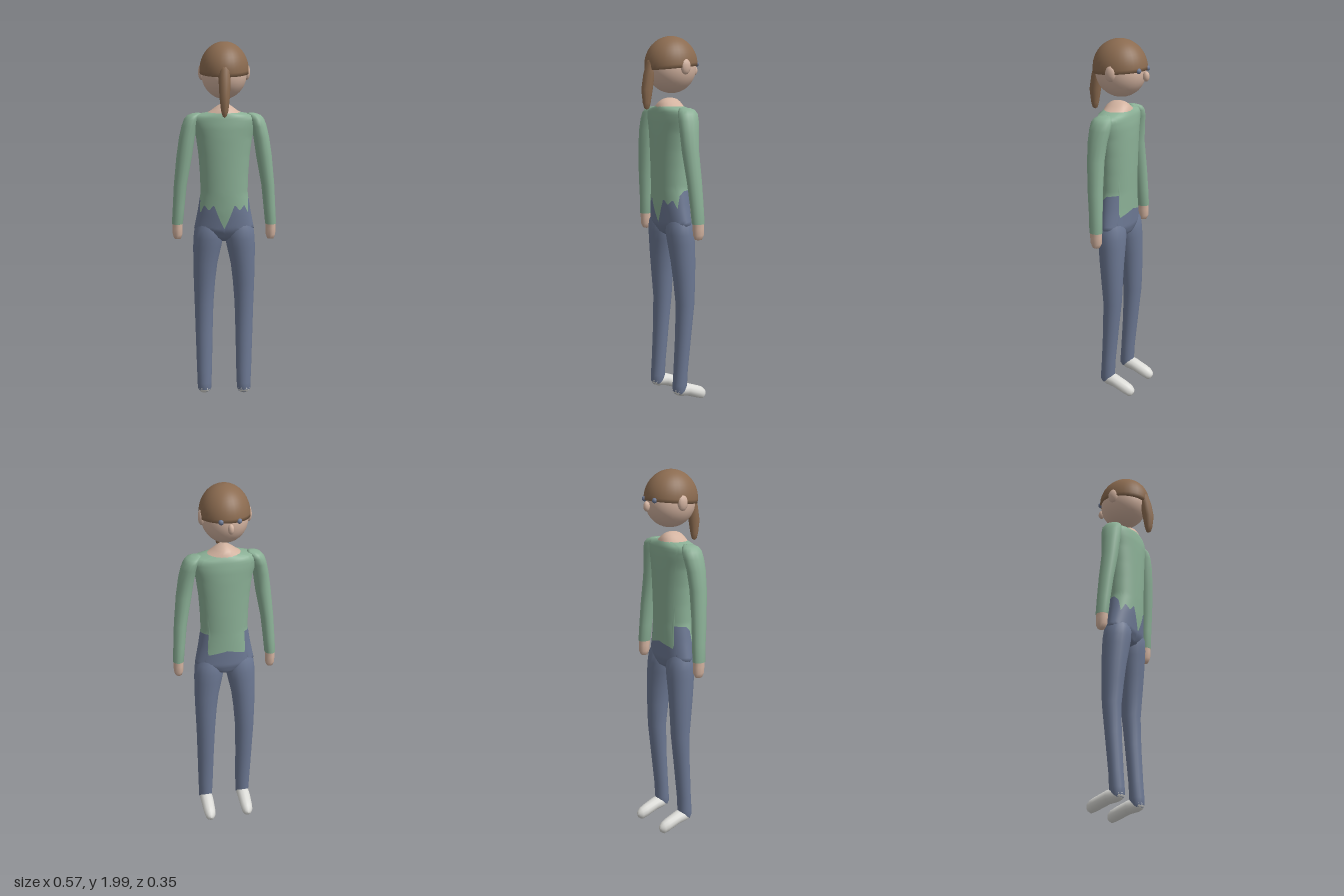
import * as THREE from 'three';

// Surface from rows of points (rows run upward, columns run round), seam welded
function surface(rows, cols, point) {
  const pos = [], idx = [];
  for (let i = 0; i <= rows; i++)
    for (let j = 0; j < cols; j++) pos.push(...point(i / rows, (j / cols) * Math.PI * 2));
  for (let i = 0; i < rows; i++)
    for (let j = 0; j < cols; j++) {
      const k = (j + 1) % cols, a = i * cols + j, b = i * cols + k;
      idx.push(a, a + cols, b, b, a + cols, b + cols);
    }
  const g = new THREE.BufferGeometry();
  g.setAttribute('position', new THREE.Float32BufferAttribute(pos, 3));
  g.setIndex(idx);
  g.computeVertexNormals();
  return g;
}

// Linear lookup in a table whose first column rises
function lookup(table, v) {
  let i = 0;
  while (i < table.length - 2 && v > table[i + 1][0]) i++;
  const a = table[i], b = table[i + 1];
  const t = THREE.MathUtils.clamp((v - a[0]) / (b[0] - a[0]), 0, 1);
  return a.map((x, k) => x + (b[k] - x) * t);
}

// Upright limb from rings [y, centre x, centre z, radius x, radius z]
function limb(rings, cols = 14) {
  return surface(rings.length - 1, cols, (u, a) => {
    const [y, cx, cz, rx, rz] = rings[Math.round(u * (rings.length - 1))];
    return [cx + rx * Math.cos(a), y, cz + rz * Math.sin(a)];
  });
}

export function createModel() {
  const group = new THREE.Group();
  const material = (name, color) => {
    const m = new THREE.MeshStandardMaterial({ color });
    m.name = name;
    return m;
  };
  const skin = material('skin', 0xd3b3a0);
  const hair = material('brown hair', 0x8b6b50);
  const green = material('green shirt', 0x8bb096);
  const blue = material('blue denim', 0x6c7893);
  const white = material('white shoe', 0xdcdcd8);

  const add = (name, geometry, mat, x = 0, y = 0, z = 0) => {
    const m = new THREE.Mesh(geometry, mat);
    m.name = name;
    m.position.set(x, y, z);
    group.add(m);
    return m;
  };
  const ball = (name, mat, p, r, seg = 10) =>
    add(name, new THREE.SphereGeometry(1, seg, Math.ceil(seg * 0.7)), mat, ...p).scale.set(...r);

  // Torso profile: [y, radius x, radius z, centre z]
  const body = [
    [0.93, 0.02, 0.02, -0.01], [0.955, 0.1, 0.06, -0.01], [1.0, 0.163, 0.079, -0.005],
    [1.1, 0.143, 0.085, 0], [1.2, 0.127, 0.088, 0.002], [1.3, 0.13, 0.09, 0.002],
    [1.4, 0.137, 0.091, 0.002], [1.5, 0.15, 0.091, 0.002], [1.56, 0.168, 0.089, 0.002],
    [1.6, 0.178, 0.083, 0.002], [1.62, 0.155, 0.079, 0.003], [1.628, 0.115, 0.075, 0.004],
    [1.632, 0.085, 0.071, 0.004],
  ];
  const bodyPoint = (y, a) => {
    const [, rx, rz, cz] = lookup(body, y);
    return [rx * Math.cos(a), y, cz + rz * Math.sin(a)];
  };

  // Jagged hem height by angle from the +z side round to the -z side
  const hemTable = [
    [0, 1.01], [0.42, 1.145], [0.62, 1.11], [0.9, 1.14], [1.1, 1.09], [1.3, 1.16],
    [1.6, 1.185], [2.34, 1.19], [2.36, 1.065], [3.15, 1.095],
  ];
  const hem = (a) => lookup(hemTable, Math.acos(THREE.MathUtils.clamp(Math.sin(a), -1, 1)))[1];
  add('shirt', surface(36, 96, (u, a) => bodyPoint(hem(a) + (1.632 - hem(a)) * u, a)), green);
  add('hips', surface(14, 96, (u, a) => bodyPoint(0.93 + (hem(a) - 0.93) * u, a)), blue);

  // Neck stub
  add('neck', limb([
    [1.625, 0, 0.004, 0.1, 0.074], [1.64, 0, 0.004, 0.072, 0.07], [1.655, 0, 0.003, 0.052, 0.06],
    [1.668, 0, 0.002, 0.033, 0.045], [1.675, 0, 0.002, 0.015, 0.025], [1.677, 0, 0.002, 0, 0],
  ], 20), skin);

  // Head, with a hair cap whose lower edge tilts up towards the face
  ball('head', skin, [0, 1.832, -0.01], [0.12, 0.132, 0.136], 28);
  add('hairCap', surface(14, 32, (u, a) => {
    const edge = Math.asin((-0.015 - 0.014 * Math.sin(a)) / 0.15);
    const e = edge + (Math.PI / 2 - edge) * Math.max(0, (u * 14 - 1) / 13);
    const r = Math.cos(e) * (u === 0 ? 0.86 : 1);
    return [0.13 * r * Math.cos(a), 1.85 + 0.15 * Math.sin(e), -0.007 + 0.147 * r * Math.sin(a)];
  }), hair);
  add('ponytail', limb([
    [1.615, 0, 0.147, 0, 0], [1.622, 0, 0.147, 0.01, 0.014], [1.65, 0, 0.147, 0.019, 0.022],
    [1.72, 0, 0.145, 0.027, 0.032], [1.8, 0, 0.132, 0.031, 0.031], [1.86, 0, 0.12, 0.03, 0.025],
    [1.878, 0, 0.118, 0.02, 0.018], [1.885, 0, 0.115, 0, 0],
  ], 10), hair);
  ball('nose', skin, [0, 1.82, -0.159], [0.016, 0.027, 0.018]);

  for (const s of [1, -1]) {
    const side = s > 0 ? 'left' : 'right';
    const mirror = (rings) => rings.map(([y, x, ...rest]) => [y, x * s, ...rest]);

    ball(side + 'Ear', skin, [s * 0.12, 1.84, -0.018], [0.018, 0.042, 0.031]);
    ball(side + 'Eye', blue, [s * 0.046, 1.853, -0.141], [0.014, 0.014, 0.014]);

    // Arm: sleeve and hand
    add(side + 'Sleeve', limb(mirror([
      [1.022, 0.254, -0.008, 0.02, 0.025], [1.025, 0.254, -0.008, 0.03, 0.036],
      [1.12, 0.246, -0.004, 0.032, 0.038], [1.24, 0.236, 0.004, 0.035, 0.042],
      [1.4, 0.213, 0.014, 0.042, 0.047], [1.5, 0.198, 0.012, 0.042, 0.054],
      [1.56, 0.184, 0.006, 0.042, 0.059], [1.595, 0.172, 0.003, 0.041, 0.058],
      [1.615, 0.16, 0.002, 0.036, 0.048], [1.625, 0.145, 0.002, 0.025, 0.03],
      [1.628, 0.135, 0.002, 0, 0],
    ])), green);
    add(side + 'Hand', limb(mirror([
      [0.937, 0.254, -0.01, 0, 0], [0.942, 0.254, -0.01, 0.018, 0.02],
      [0.965, 0.254, -0.01, 0.026, 0.031], [1.0, 0.254, -0.009, 0.027, 0.033],
      [1.03, 0.254, -0.008, 0.027, 0.033],
    ]), 10), skin);

    // Trouser leg
    add(side + 'Leg', limb(mirror([
      [0.07, 0.11, 0.012, 0.03, 0.028], [0.085, 0.11, 0.011, 0.038, 0.037],
      [0.12, 0.11, 0.008, 0.039, 0.04], [0.2, 0.11, 0.003, 0.042, 0.038],
      [0.4, 0.111, -0.013, 0.047, 0.043], [0.57, 0.111, -0.024, 0.052, 0.051],
      [0.7, 0.108, -0.02, 0.059, 0.06], [0.8, 0.103, -0.016, 0.066, 0.067],
      [0.9, 0.092, -0.011, 0.077, 0.073], [0.95, 0.086, -0.008, 0.081, 0.075],
      [1.0, 0.082, -0.005, 0.079, 0.073], [1.05, 0.078, -0.003, 0.06, 0.055],
    ]), 20), blue);

    // Shoe: rings along z [z, centre y, radius x, radius y], from toe to heel
    const shoe = [
      [-0.161, 0.042, 0, 0], [-0.155, 0.043, 0.017, 0.02], [-0.138, 0.045, 0.029, 0.034],
      [-0.11, 0.055, 0.034, 0.036], [-0.04, 0.081, 0.037, 0.036], [0.01, 0.088, 0.037, 0.036],
      [0.033, 0.089, 0.031, 0.027], [0.045, 0.09, 0.016, 0.013], [0.048, 0.09, 0, 0],
    ];
    add(side + 'Shoe', surface(shoe.length - 1, 12, (u, a) => {
      const [z, cy, rx, ry] = shoe[Math.round(u * (shoe.length - 1))];
      return [s * 0.11 + rx * Math.sin(a), cy + ry * Math.cos(a), z];
    }), white);
  }
  return group;
}
